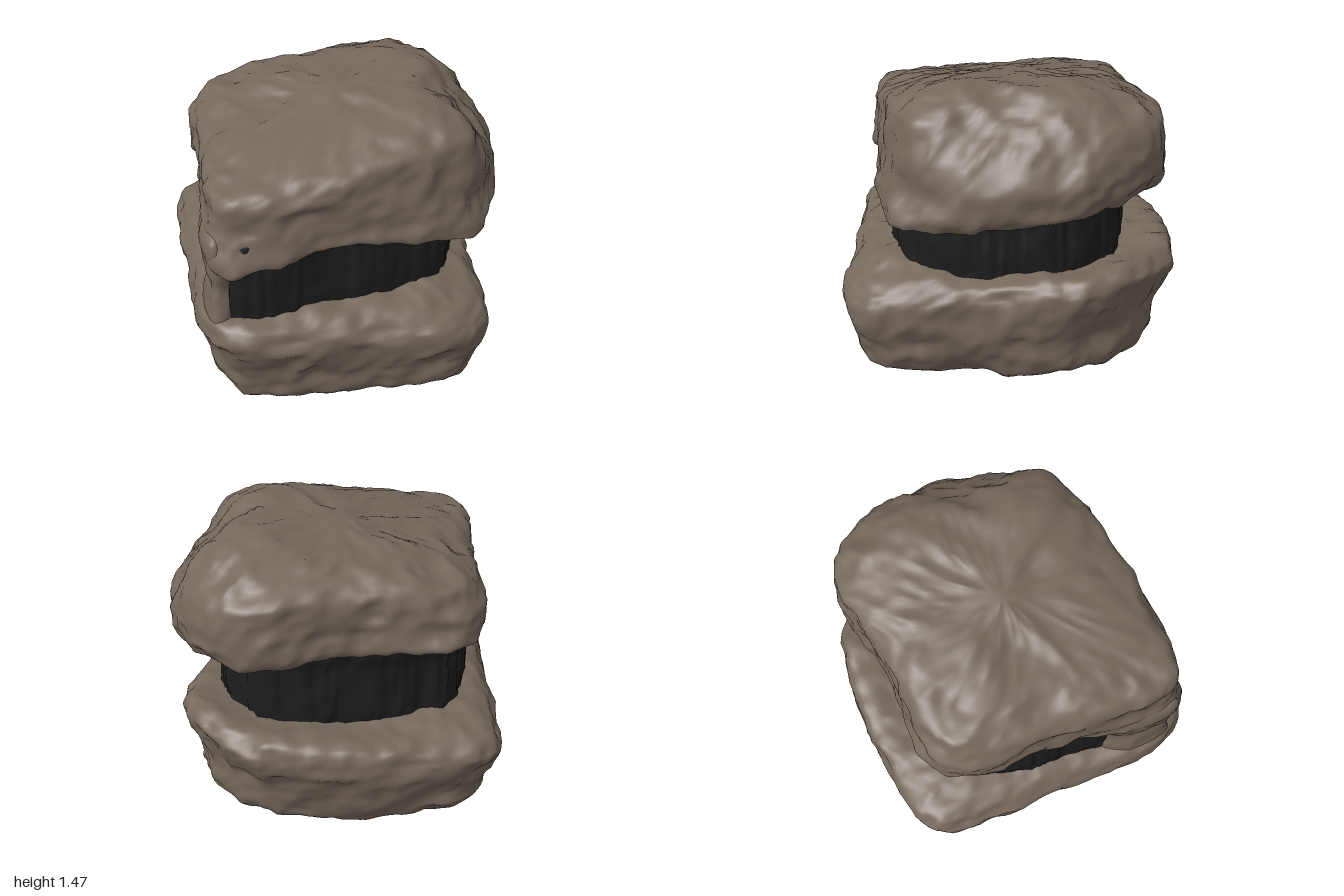
import * as THREE from 'three';
import { mergeVertices } from 'three/addons/utils/BufferGeometryUtils.js';

const stone = new THREE.MeshStandardMaterial({ color: 0x75685b });
stone.name = 'brown stone';
const coal = new THREE.MeshStandardMaterial({ color: 0x1d1d1d });
coal.name = 'black coal';

// Seeded value noise in -1..1
function hash(x, y, z) {
  let h = Math.imul(x, 374761393) ^ Math.imul(y, 668265263) ^ Math.imul(z, 1274126177);
  h = Math.imul(h ^ (h >>> 13), 1103515245);
  return (((h ^ (h >>> 16)) >>> 0) / 4294967295) * 2 - 1;
}
function noise(x, y, z) {
  const i = [x, y, z].map(Math.floor);
  const [u, v, w] = [x - i[0], y - i[1], z - i[2]].map((f) => f * f * (3 - 2 * f));
  const L = THREE.MathUtils.lerp;
  const row = (b, c) => L(hash(i[0], i[1] + b, i[2] + c), hash(i[0] + 1, i[1] + b, i[2] + c), u);
  return L(L(row(0, 0), row(1, 0), v), L(row(0, 1), row(1, 1), v), w);
}

// Rugged stone: broad lumps, sharp creases and fine chips
const rugged = (p) =>
  0.014 * noise(p.x * 4 + 7, p.y * 6, p.z * 4) +
  0.032 * (0.27 - Math.abs(noise(p.x * 5, p.y * 8 + 3, p.z * 5 + 9))) +
  0.016 * (0.27 - Math.abs(noise(p.x * 11, p.y * 14, p.z * 11))) +
  0.006 * noise(p.x * 19, p.y * 22, p.z * 19);

// Upright splinters: noise that hardly changes with height
const splintered = (p) =>
  0.018 * noise(p.x * 9, p.y * 1.5, p.z * 9) +
  0.022 * (0.25 - Math.abs(noise(p.x * 19, p.y * 2.5, p.z * 19))) +
  0.008 * noise(p.x * 14, p.y * 14, p.z * 14);

// Skin through closed rings, bottom to top, closed by a centre point at each end
function loft(name, material, rings, bottom, top, rough, around = 180, steps = 9) {
  const curves = rings.map((r) =>
    new THREE.CatmullRomCurve3(r.map((p) => new THREE.Vector3(...p)), true, 'centripetal'));
  const rows = (rings.length + 1) * steps;
  const pos = [], index = [];
  for (let j = 0; j < around; j++) {
    const column = new THREE.CatmullRomCurve3([
      new THREE.Vector3(...bottom),
      ...curves.map((c) => c.getPoint(j / around)),
      new THREE.Vector3(...top),
    ]);
    for (let i = 0; i <= rows; i++) {
      pos.push(...column.getPoint(i / rows).toArray());
      const next = ((j + 1) % around) * (rows + 1), here = j * (rows + 1);
      if (i === rows) continue;
      if (i > 0) index.push(here + i, next + i, next + i + 1);
      if (i < rows - 1) index.push(here + i, next + i + 1, here + i + 1);
    }
  }
  let geo = new THREE.BufferGeometry();
  geo.setAttribute('position', new THREE.Float32BufferAttribute(pos, 3));
  geo.setIndex(index);
  geo = mergeVertices(geo, 1e-5);
  geo.computeVertexNormals();
  const at = geo.attributes.position, normal = geo.attributes.normal;
  const p = new THREE.Vector3(), n = new THREE.Vector3();
  for (let i = 0; i < at.count; i++) {
    p.fromBufferAttribute(at, i);
    n.fromBufferAttribute(normal, i);
    p.addScaledVector(n, rough(p));
    at.setXYZ(i, p.x, Math.max(p.y, 0), p.z);
  }
  geo.computeVertexNormals();
  const mesh = new THREE.Mesh(geo, material);
  mesh.name = name;
  return mesh;
}

// Ring copied with x and z scaled and y given
const inset = (ring, s, y) => ring.map(([x, , z]) => [x * s, y, z * s]);

export function createModel() {
  const group = new THREE.Group();
  group.name = 'layeredRock';

  // Rings run left corner, front, right (two points), back
  const lowFoot = [[-0.79, 0.07, 0.08], [-0.45, 0.06, 0.5], [0, 0.06, 0.89], [0.42, 0.03, 0.54], [0.82, 0.1, 0.22],
    [0.82, 0.11, -0.2], [0.45, 0.08, -0.6], [-0.04, 0.13, -0.87], [-0.44, 0.08, -0.46]];
  const lowSide = [[-0.86, 0.26, 0.08], [-0.48, 0.24, 0.56], [0, 0.22, 0.95], [0.48, 0.24, 0.6], [0.84, 0.32, 0.24],
    [0.84, 0.32, -0.26], [0.47, 0.26, -0.67], [-0.04, 0.25, -0.92], [-0.46, 0.24, -0.49]];
  const lowRim = [[-0.95, 0.49, 0.09], [-0.51, 0.45, 0.6], [0, 0.41, 0.99], [0.48, 0.46, 0.61], [0.91, 0.54, 0.27],
    [0.91, 0.54, -0.29], [0.49, 0.5, -0.73], [-0.05, 0.46, -0.99], [-0.5, 0.45, -0.54]];
  group.add(loft('lowerSlab', stone, [
    inset(lowFoot, 0.6, 0.045), lowFoot, lowSide, lowRim,
    lowRim.map(([x, y, z]) => [x * 0.95, y + 0.08, z * 0.94]), inset(lowRim, 0.7, 0.595),
  ], [0, 0.045, 0], [0, 0.61, 0], rugged));

  // Coal seam, flaring slightly under the upper slab
  const seam = [[-0.83, 0, 0.09], [-0.42, 0, 0.42], [0.08, 0, 0.69], [0.45, 0, 0.5], [0.69, 0, 0.2],
    [0.69, 0, -0.15], [0.42, 0, -0.43], [-0.05, 0, -0.66], [-0.45, 0, -0.4]];
  group.add(loft('coalSeam', coal, [
    inset(seam, 0.97, 0.5), inset(seam, 1, 0.62), inset(seam, 0.99, 0.88), inset(seam, 1, 1.02),
  ], [0, 0.5, 0], [0, 1.1, 0], splintered, 300, 7));

  // Stone joining both slabs at the left corner
  const bridge = [[-0.88, 0, 0.03], [-0.81, 0, 0.07], [-0.6, 0, 0], [-0.62, 0, -0.2], [-0.76, 0, -0.15]];
  group.add(loft('stoneBridge', stone, [
    inset(bridge, 1.02, 0.5), inset(bridge, 1, 0.75), inset(bridge, 1.01, 1.02),
  ], [-0.72, 0.48, -0.05], [-0.72, 1.08, -0.05], (p) => rugged(p) * 0.6, 60));

  // Upper slab, highest toward the front right
  const upRim = [[-0.9, 0.86, 0.08], [-0.42, 0.94, 0.48], [0.14, 0.84, 0.84], [0.6, 0.88, 0.6], [0.87, 0.95, 0.28],
    [0.87, 0.99, -0.2], [0.44, 1.02, -0.5], [-0.02, 1.02, -0.83], [-0.47, 0.99, -0.42]];
  const upSide = [[-0.87, 1.05, 0.06], [-0.42, 1.1, 0.48], [0.2, 1.05, 0.8], [0.64, 1.08, 0.61], [0.91, 1.1, 0.29],
    [0.91, 1.13, -0.2], [0.44, 1.16, -0.51], [-0.03, 1.13, -0.82], [-0.47, 1.12, -0.42]];
  const upShoulder = [[-0.84, 1.23, 0.05], [-0.41, 1.28, 0.46], [0.18, 1.33, 0.73], [0.52, 1.34, 0.45], [0.82, 1.34, 0.2],
    [0.88, 1.31, -0.19], [0.42, 1.35, -0.48], [-0.05, 1.28, -0.75], [-0.45, 1.24, -0.4]];
  const upTop = [[-0.66, 1.28, 0.03], [-0.32, 1.35, 0.34], [0.16, 1.45, 0.53], [0.4, 1.47, 0.3], [0.58, 1.47, 0.14],
    [0.64, 1.44, -0.12], [0.32, 1.41, -0.36], [-0.04, 1.36, -0.56], [-0.34, 1.31, -0.28]];
  group.add(loft('upperSlab', stone, [
    inset(upRim, 0.75, 1), upRim, upSide, upShoulder, upTop,
  ], [0, 1, 0], [0.06, 1.43, 0], rugged));

  // Coal chips showing on the underside
  const chip = new THREE.SphereGeometry(1, 14, 8);
  [[0.42, 0.09, 0.11, 0.05, 0.16], [0.16, 0.02, 0.09, 0.04, 0.16], [-0.02, -0.16, 0.05, 0.035, 0.8]]
    .forEach(([x, z, length, width, turn]) => {
      const mesh = new THREE.Mesh(chip, coal);
      mesh.name = 'coalChip';
      mesh.position.set(x, 0.05, z);
      mesh.scale.set(length, 0.03, width);
      mesh.rotation.y = turn;
      group.add(mesh);
    });
  return group;
}
